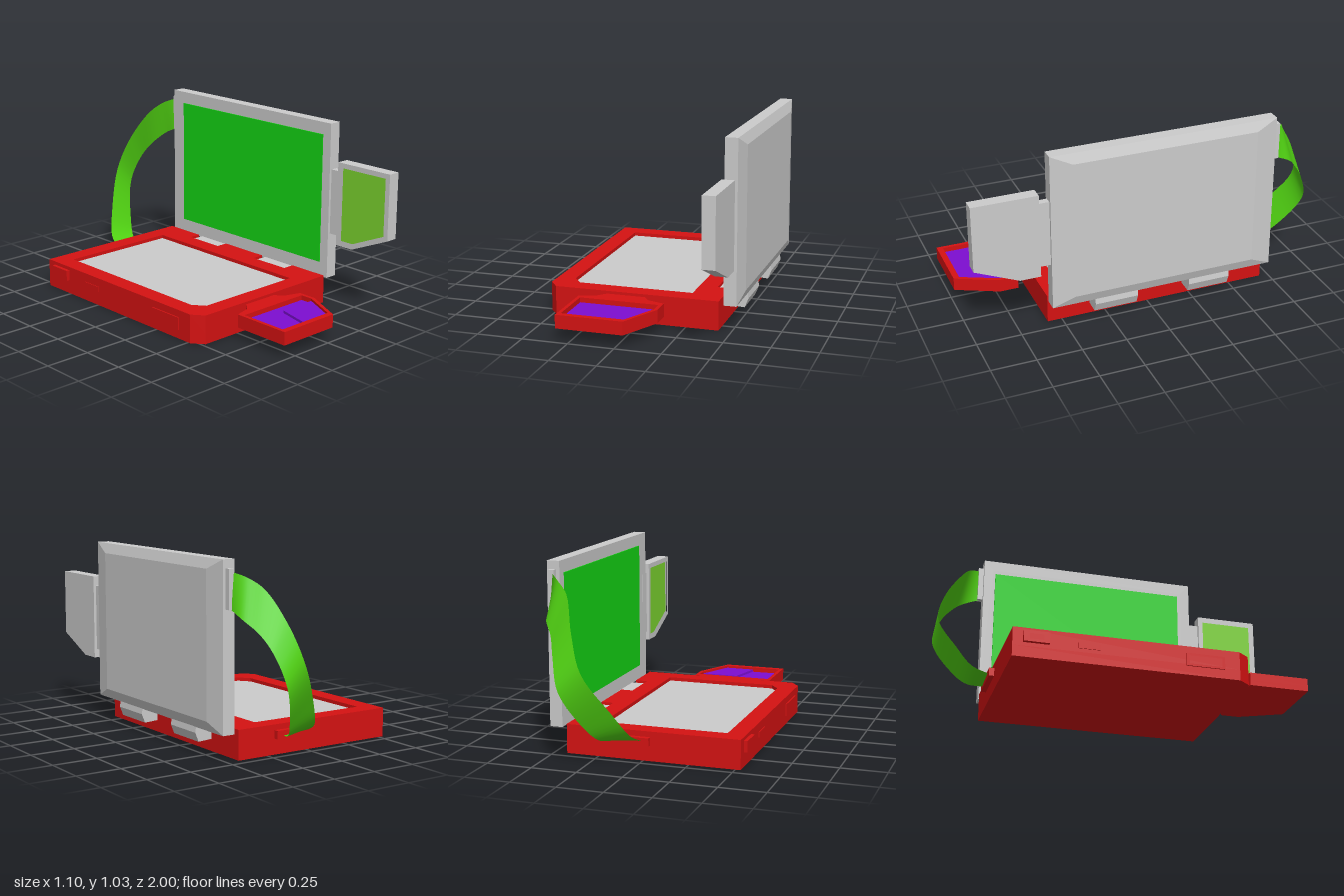
import * as THREE from 'three';

const paint = (color) => new THREE.MeshStandardMaterial({ color });
const GREY = paint(0xcccccc), RED = paint(0xd51212), PURPLE = paint(0x7d0ed1);
const SCREEN = paint(0x14d414), SIDE_SCREEN = paint(0x7cd42f);
const RIBBON = paint(0x52d513);
RIBBON.side = THREE.DoubleSide;

const rect = (a0, b0, a1, b1) => [[a0, b0], [a1, b0], [a1, b1], [a0, b1]];

function extrude(points, hole, depth) {
  const vec = (list) => list.map(([a, b]) => new THREE.Vector2(a, b));
  const shape = new THREE.Shape(vec(points));
  if (hole) shape.holes.push(new THREE.Path(vec(hole)));
  return new THREE.ExtrudeGeometry(shape, { depth, bevelEnabled: false });
}

// Prism standing on y, outline given as [x, z]
function prismY(points, y0, y1, hole) {
  const flip = (list) => list && list.map(([x, z]) => [x, -z]);
  return extrude(flip(points), flip(hole), y1 - y0).rotateX(-Math.PI / 2).translate(0, y0, 0);
}

// Prism lying along x, outline given as [z, y]
function prismX(points, x0, x1, hole) {
  const flip = (list) => list && list.map(([z, y]) => [-z, y]);
  return extrude(flip(points), flip(hole), x1 - x0).rotateY(Math.PI / 2).translate(x0, 0, 0);
}

function box(x0, x1, y0, y1, z0, z1) {
  return new THREE.BoxGeometry(x1 - x0, y1 - y0, z1 - z0)
    .translate((x0 + x1) / 2, (y0 + y1) / 2, (z0 + z1) / 2);
}

// Smooth strip lofted between two edge curves
function ribbonGeometry(left, right, steps) {
  const curve = (pts) => new THREE.CatmullRomCurve3(pts.map((p) => new THREE.Vector3(...p)));
  const a = curve(left), b = curve(right), pos = [], index = [];
  for (let i = 0; i <= steps; i++) {
    pos.push(...a.getPoint(i / steps).toArray(), ...b.getPoint(i / steps).toArray());
    if (i < steps) {
      const k = i * 2;
      index.push(k, k + 1, k + 2, k + 1, k + 3, k + 2);
    }
  }
  const g = new THREE.BufferGeometry();
  g.setAttribute('position', new THREE.Float32BufferAttribute(pos, 3));
  g.setIndex(index);
  g.computeVertexNormals();
  return g;
}

export function createModel() {
  const model = new THREE.Group();
  const add = (parent, name, geometry, material) => {
    const mesh = new THREE.Mesh(geometry, material);
    mesh.name = name;
    parent.add(mesh);
  };
  const group = (name) => {
    const g = new THREE.Group();
    g.name = name;
    model.add(g);
    return g;
  };
  const hingeSpans = [[-0.45, -0.21], [0.095, 0.34]];

  // Base case: solid floor, then walls with hinge notches and a tray opening
  const base = group('base');
  const outline = [[0.43, -0.70], [-0.53, -0.70], [-0.53, 0.515], [-0.48, 0.58], [0.43, 0.58]];
  const notched = [...outline];
  for (const [z0, z1] of [...hingeSpans].reverse()) {
    notched.push([0.43, z1], [0.36, z1], [0.36, z0], [0.43, z0]);
  }
  const tray = [[0.26, -0.60], [-0.43, -0.60], [-0.43, 0.415], [-0.38, 0.48], [0.26, 0.48]];
  add(base, 'baseFloor', prismY(outline, 0, 0.06), RED);
  add(base, 'baseWalls', prismY(notched, 0.06, 0.16, tray), RED);
  add(base, 'basePanel', prismY(tray, 0.05, 0.14), GREY);

  // Ports on the side of the base
  add(base, 'squarePort', prismX(rect(-0.645, 0.08, -0.51, 0.14), -0.55, -0.525,
    rect(-0.615, 0.095, -0.54, 0.125)), RED);
  add(base, 'slotPort', prismX(rect(-0.36, 0.08, -0.24, 0.11), -0.534, -0.525,
    rect(-0.35, 0.087, -0.25, 0.103)), RED);
  add(base, 'widePort', prismX(rect(0.22, 0.05, 0.43, 0.12), -0.537, -0.525,
    rect(0.235, 0.062, 0.415, 0.108)), RED);

  // Hinges joining base and lid
  const hingeProfile = [[0.36, 0.065], [0.43, 0.065], [0.51, 0.06], [0.53, 0.11], [0.525, 0.145], [0.36, 0.145]];
  for (const [z0, z1] of hingeSpans) {
    add(base, 'hinge', extrude(hingeProfile, null, z1 - z0).translate(0, 0, z0), GREY);
  }

  // Lid: rim around the screen, slab and tapered back
  const lid = group('lid');
  const lidOutline = rect(-0.70, 0.14, 0.58, 1.03);
  const opening = rect(-0.645, 0.2, 0.525, 0.97);
  add(lid, 'lidRim', prismX(lidOutline, 0.455, 0.475, opening), GREY);
  add(lid, 'lidSlab', prismX(lidOutline, 0.475, 0.525), GREY);
  add(lid, 'lidScreen', prismX(rect(-0.63, 0.215, 0.51, 0.955), 0.468, 0.48), SCREEN);
  const taper = new THREE.BoxGeometry(0.02, 0.89, 1.28);
  const p = taper.attributes.position;
  for (let i = 0; i < p.count; i++) {
    if (p.getX(i) > 0) {
      p.setY(i, p.getY(i) - Math.sign(p.getY(i)) * 0.055);
      p.setZ(i, p.getZ(i) - Math.sign(p.getZ(i)) * 0.12);
    }
  }
  taper.computeVertexNormals();
  add(lid, 'lidBack', taper.translate(0.535, 0.585, -0.06), GREY);

  // Small side screen attached to the lid
  const side = group('sideScreen');
  const sideOutline = [[0.64, 0.35], [0.755, 0.35], [1, 0.455], [1, 0.825], [0.64, 0.825]];
  const sideOpening = [[0.668, 0.378], [0.75, 0.378], [0.972, 0.474], [0.972, 0.797], [0.668, 0.797]];
  add(side, 'sideScreenRim', prismX(sideOutline, 0.455, 0.47, sideOpening), GREY);
  add(side, 'sideScreenSlab', prismX(sideOutline, 0.47, 0.525), GREY);
  add(side, 'sideScreenGlass', prismX(sideOpening, 0.465, 0.475), SIDE_SCREEN);
  add(side, 'sideScreenJoint', box(0.47, 0.51, 0.40, 0.77, 0.575, 0.645), GREY);

  // Front pad with a recessed two-level surface
  const pad = group('frontPad');
  const padOutline = [[-0.18, 0.57], [-0.19, 0.585], [-0.23, 0.63], [-0.32, 0.655], [-0.32, 0.99], [0.045, 0.99],
    [0.155, 0.76], [0.155, 0.655], [0.06, 0.625], [0.03, 0.585], [0.02, 0.57]];
  const padWell = [[-0.30, 0.685], [-0.30, 0.957], [0.04, 0.957], [0.135, 0.755], [0.135, 0.685]];
  const padStep = [[-0.08, 0.755], [-0.13, 0.957], [0.04, 0.957], [0.135, 0.755]];
  add(pad, 'padFloor', prismY(padOutline, 0.072, 0.1), RED);
  add(pad, 'padRim', prismY(padOutline, 0.1, 0.145, padWell), RED);
  add(pad, 'padSurface', prismY(padWell, 0.095, 0.118), PURPLE);
  add(pad, 'padRaisedKey', prismY(padStep, 0.11, 0.132), PURPLE);

  // Flat ribbon cable and its two sockets
  const cable = group('ribbonCable');
  add(cable, 'baseSocket', box(-0.04, 0.205, 0.085, 0.13, -0.728, -0.695), RED);
  add(cable, 'lidSocket', box(0.475, 0.51, 0.78, 0.985, -0.73, -0.695), GREY);
  add(cable, 'ribbon', ribbonGeometry(
    [[0, 0.11, -0.72], [0.03, 0.16, -0.81], [0.1, 0.29, -0.89], [0.2245, 0.51, -0.985],
      [0.29, 0.70, -0.94], [0.36, 0.88, -0.83], [0.43, 0.94, -0.78], [0.49, 0.97, -0.72]],
    [[0.165, 0.10, -0.72], [0.20, 0.12, -0.81], [0.25, 0.2, -0.89], [0.345, 0.41, -0.997],
      [0.39, 0.57, -0.95], [0.43, 0.67, -0.88], [0.485, 0.74, -0.81], [0.49, 0.78, -0.72]],
    42), RIBBON);

  return model;
}
